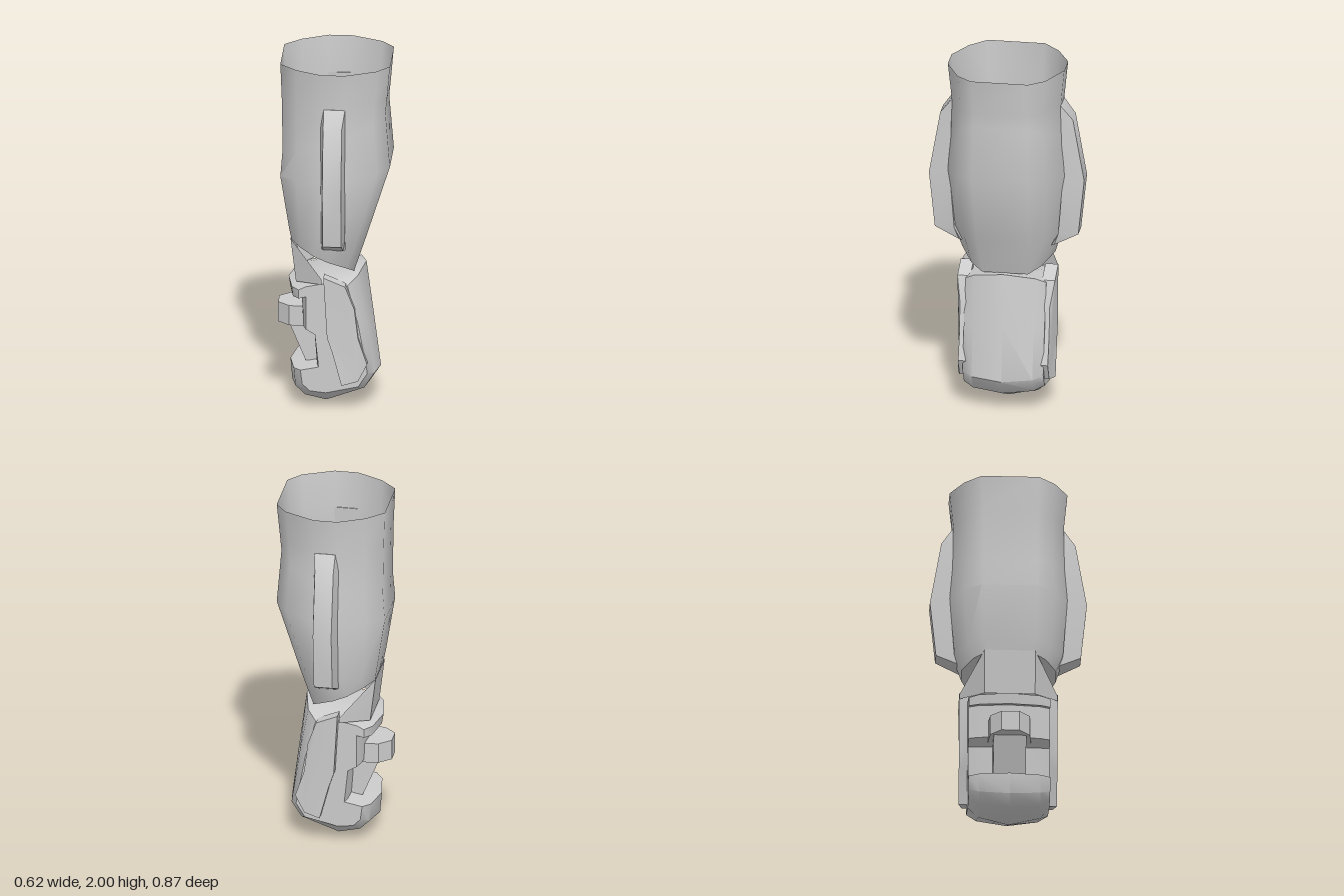
import * as THREE from 'three';
import { toCreasedNormals } from 'three/addons/utils/BufferGeometryUtils.js';

const solid = new THREE.MeshStandardMaterial({ color: 0xcccccc });
const sheet = new THREE.MeshStandardMaterial({ color: 0xcccccc, side: THREE.DoubleSide });

// Skin a list of equal-length rings; axis names the pair of coordinates used to fill the ends.
function loft(rings, { closed = true, caps = null, crease = 0.6 } = {}) {
  const n = rings[0].length, index = [];
  for (let i = 0; i < rings.length - 1; i++) {
    for (let j = 0; j < (closed ? n : n - 1); j++) {
      const k = (j + 1) % n;
      const a = i * n + j, b = i * n + k, c = (i + 1) * n + k, d = (i + 1) * n + j;
      index.push(a, b, c, a, c, d);
    }
  }
  if (caps) {
    [0, rings.length - 1].forEach((r) => {
      const flat = rings[r].map((p) => new THREE.Vector2(p[caps[0]], p[caps[1]]));
      for (const [a, b, c] of THREE.ShapeUtils.triangulateShape(flat, [])) {
        const ccw = THREE.ShapeUtils.area([flat[a], flat[b], flat[c]]) > 0;
        const o = r * n;
        if (ccw === (r > 0)) index.push(o + a, o + b, o + c);
        else index.push(o + a, o + c, o + b);
      }
    });
  }
  const g = new THREE.BufferGeometry();
  g.setAttribute('position', new THREE.Float32BufferAttribute(rings.flat(2), 3));
  g.setIndex(index);
  return toCreasedNormals(g, crease);
}

const XY = [0, 1], ZX = [2, 0];

export function createModel() {
  const model = new THREE.Group();
  const add = (name, geometry, material = solid, mirrored = false) => {
    const mesh = new THREE.Mesh(geometry, material);
    mesh.name = name;
    if (mirrored) mesh.scale.z = -1;
    model.add(mesh);
  };

  // Forearm sleeve: twelve-sided rings, from the wrist hole up to the open top
  const half = [[1, -0.49], [0.78, -0.75], [0.22, -1], [-0.22, -1], [-0.7, -0.77], [-1, -0.49]];
  const outline = [...half, ...half.map(([x, z]) => [x, -z]).reverse()];
  const ring = ([x0, x1, zHalf, yLeft, yRight]) => outline.map(([u, v]) => {
    const t = (1 - u) / 2;
    return [(x0 + x1) / 2 + u * (x1 - x0) / 2, yRight + (yLeft - yRight) * t ** 0.7, v * zHalf];
  });
  add('forearmSleeve', loft([
    [-0.145, -0.025, 0.08, 0.91, 0.83],
    [-0.235, 0.11, 0.26, 0.96, 0.785],
    [-0.247, 0.18, 0.3, 1.03, 1.0],
    [-0.295, 0.31, 0.325, 1.34, 1.41],
    [-0.283, 0.285, 0.308, 1.5, 1.72],
    [-0.288, 0.293, 0.305, 1.8, 1.8],
    [-0.295, 0.31, 0.325, 2, 2],
  ].map(ring), { crease: 0.8 }), sheet);

  // Raised ridges on the front and back of the sleeve: [y, outer z, inner z]
  const ridge = loft([
    [0.95, 0.265, 0.25], [1.02, 0.4, 0.29], [1.34, 0.433, 0.315], [1.7, 0.37, 0.305], [1.79, 0.307, 0.3],
  ].map(([y, zo, zi]) => [[0.058, y, zo], [0.072, y, zi], [-0.062, y, zi], [-0.045, y, zo]]), { caps: ZX });
  add('frontRidge', ridge);
  add('backRidge', ridge, solid, true);

  // Wrist cuff: thin half ring, [x, z, bottom y, top y]
  const cuff = [[-0.06, -0.27, 0.75, 0.78], [-0.22, -0.14, 0.72, 0.97],
    [-0.22, 0.14, 0.72, 0.97], [-0.06, 0.27, 0.75, 0.78]];
  add('wristCuff', loft([
    cuff.map(([x, z, y]) => [x < -0.1 ? x + 0.01 : x, y, z]),
    cuff.map(([x, z, , y]) => [x < -0.1 ? x - 0.02 : x, y, z]),
  ], { closed: false }), sheet);

  // Gripping hand: C-shaped outline [mid x, mid y, edge x, edge y], rounded towards both sides
  const grip = [
    [-0.04, 0, -0.04, 0.1], [0.19, 0.1, 0.14, 0.14], [0.25, 0.19, 0.19, 0.22], [0.21, 0.5, 0.14, 0.5],
    [0.17, 0.8, 0.08, 0.73], [-0.05, 0.76, -0.05, 0.74], [-0.2, 0.72, -0.15, 0.72],
    [-0.26, 0.7, -0.19, 0.7], [-0.25, 0.64, -0.19, 0.65], [-0.19, 0.66, -0.15, 0.66],
    [-0.18, 0.47, -0.15, 0.47], [-0.11, 0.44, -0.1, 0.44], [-0.1, 0.25, -0.08, 0.25],
    [-0.25, 0.22, -0.18, 0.23], [-0.24, 0.1, -0.17, 0.15], [-0.18, 0.04, -0.13, 0.11],
  ];
  const section = (z, k) => grip.map(([x, y, ex, ey]) => [x + (ex - x) * k, y + (ey - y) * k, z]);
  add('hand', loft([
    section(-0.225, 1), section(-0.17, 0.42), section(0, 0), section(0.17, 0.42), section(0.225, 1),
  ], { caps: XY, crease: 0.7 }));

  // Side guards of the hand
  const guard = [[0.05, 0.16], [0.14, 0.18], [0.19, 0.28], [0.14, 0.43], [0.12, 0.6],
    [0.07, 0.74], [-0.05, 0.79], [-0.03, 0.44], [0, 0.35]];
  const guardShape = loft([
    guard.map(([x, y]) => [x, y, 0.2]),
    guard.map(([x, y]) => [x, y, x > 0.1 ? 0.25 : 0.272]),
  ], { caps: XY, crease: 0.4 });
  add('frontGuard', guardShape);
  add('backGuard', guardShape, solid, true);

  // Thumb pad and the slanted finger below it
  const pad = (y) => [[-0.13, 0.12], [-0.13, -0.12], [-0.25, -0.11], [-0.315, -0.05], [-0.315, 0.05], [-0.25, 0.11]]
    .map(([x, z]) => [x, y, z]);
  add('thumbPad', loft([pad(0.45), pad(0.565)], { caps: ZX }));
  const finger = (x0, x1, y) => [[x1, y, 0.09], [x1, y, -0.09], [x0, y, -0.09], [x0, y, 0.09]];
  add('foldedFinger', loft([finger(-0.16, -0.08, 0.24), finger(-0.25, -0.1, 0.455)], { caps: ZX }));

  return model;
}
